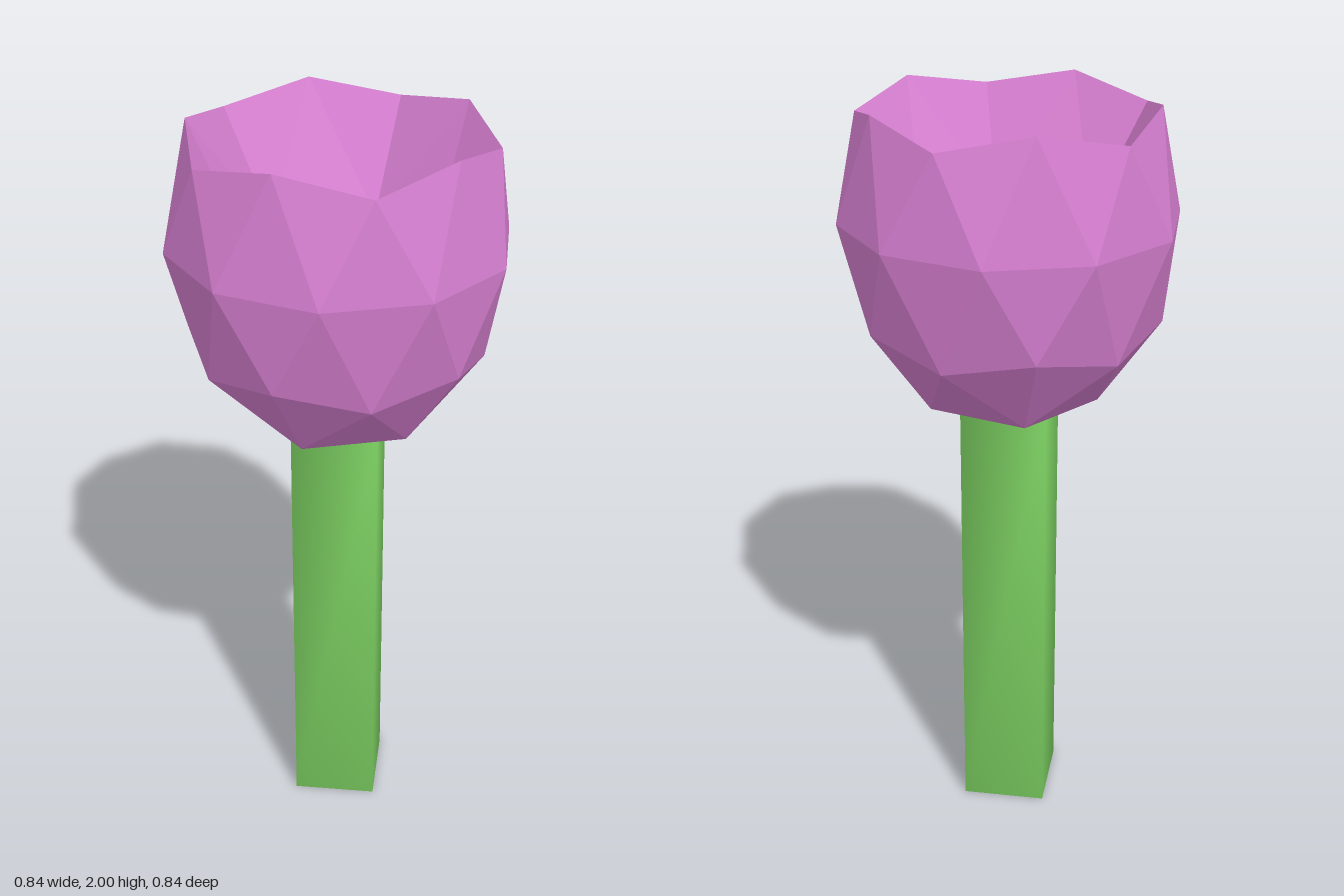
import * as THREE from 'three';
import { mergeVertices } from 'three/addons/utils/BufferGeometryUtils.js';

// Half-widths of the faceted bloom
const RX = 0.44, RZ = 0.42;

// Point on the bloom: k counts steps of 36 degrees, r is relative radius
const point = (k, r, y) => {
  const a = (k * Math.PI) / 5;
  return [RX * r * Math.cos(a), y, RZ * r * Math.sin(a)];
};

function facets(triangles, flip = false) {
  const corners = triangles.flatMap(([a, b, c]) => (flip ? [a, c, b] : [a, b, c])).flat();
  const geometry = new THREE.BufferGeometry();
  geometry.setAttribute('position', new THREE.Float32BufferAttribute(corners, 3));
  geometry.computeVertexNormals();
  return geometry;
}

// Cap closing a ten-point rim through a five-point ring to a centre point
function cap(rim, ring, centre, parity) {
  const triangles = [];
  for (let i = 0; i < 5; i++) {
    const k = 2 * i + parity;
    triangles.push(
      [rim(k), rim(k + 1), ring(k)],
      [rim(k - 1), rim(k), ring(k)],
      [rim(k + 1), ring(k + 2), ring(k)],
      [ring(k), ring(k + 2), centre],
    );
  }
  return triangles;
}

export function createModel() {
  const petalPink = new THREE.MeshStandardMaterial({ color: 0xd67fd0, flatShading: true });
  petalPink.name = 'petalPink';
  const stemGreen = new THREE.MeshStandardMaterial({ color: 0x7dd162 });
  stemGreen.name = 'stemGreen';

  const group = new THREE.Group();
  group.name = 'flower';
  const add = (name, geometry, material) => {
    const mesh = new THREE.Mesh(geometry, material);
    mesh.name = name;
    group.add(mesh);
  };

  // Rings of the bloom; rim and shoulder alternate between two heights
  const odd = (k) => Math.abs(k) % 2 === 1;
  const rim = (k) => (odd(k) ? point(k, 0.851, 2.0) : point(k, 0.894, 1.955));
  const belly = (k) => point(k + 0.5, 1, 1.7);
  const lower = (k) => (odd(k) ? point(k, 0.894, 1.445) : point(k, 0.851, 1.4));

  // Outer petals: two zigzag bands and the underside
  const outer = [];
  for (let k = 0; k < 10; k++) {
    outer.push(
      [rim(k), rim(k + 1), belly(k)],
      [rim(k), belly(k), belly(k - 1)],
      [belly(k - 1), belly(k), lower(k)],
      [belly(k), lower(k + 1), lower(k)],
    );
  }
  outer.push(...cap(lower, (k) => point(k, 0.526, 1.215), [0, 1.13, 0], 1));
  add('outerPetals', facets(outer), petalPink);

  // Inside of the cup with its slightly domed floor
  const inner = cap(rim, (k) => point(k, 0.526, 1.685), [0, 1.77, 0], 0);
  add('innerCup', facets(inner, true), petalPink);

  // Square stem with softly shaded corners
  let stem = new THREE.BoxGeometry(0.225, 1.22, 0.236);
  stem.deleteAttribute('normal');
  stem.deleteAttribute('uv');
  stem = mergeVertices(stem);
  stem.computeVertexNormals();
  stem.translate(0, 0.61, 0);
  add('stem', stem, stemGreen);

  return group;
}
